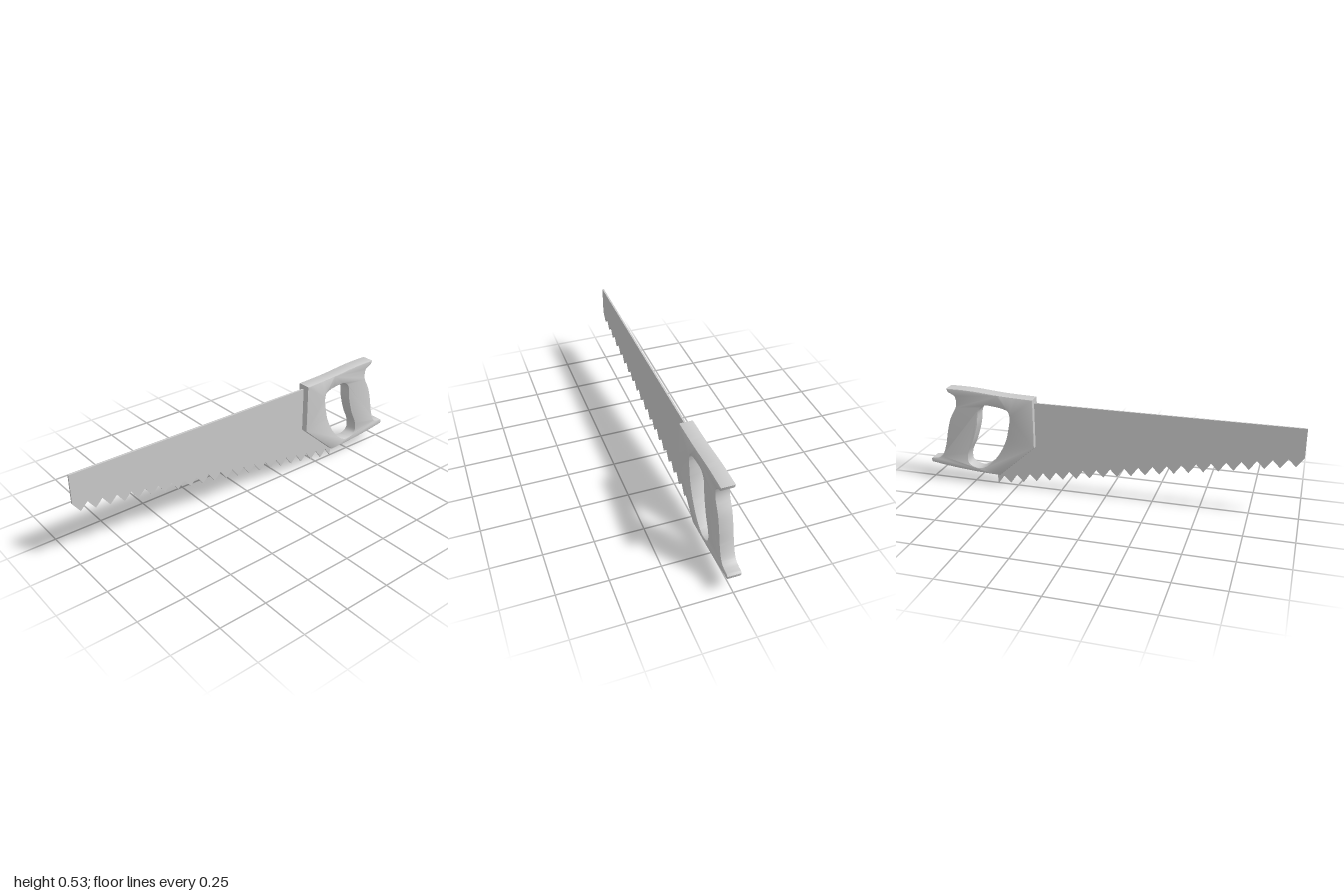
import * as THREE from 'three';
import { toCreasedNormals } from 'three/addons/utils/BufferGeometryUtils.js';

const vectors = (pts) => pts.map(([x, y]) => new THREE.Vector2(x, y));

// Thin steel plate with a sloping row of triangular teeth
function createBlade(material) {
  const teeth = 21.5, left = -1, right = 0.615, pitch = (right - left) / teeth;
  const slope = -0.18, depth = 0.045;
  const shape = new THREE.Shape();
  shape.moveTo(left, 0.487);
  for (let i = 0; i <= teeth * 2; i++) {
    const x = left + i * pitch / 2;
    const gullet = 0.335 + slope * (x - left);
    shape.lineTo(x, Math.max(0, i % 2 ? gullet - depth : gullet));
  }
  // Tang, tucked inside the handle
  shape.lineTo(right, 0.08);
  shape.lineTo(0.45, 0.22);
  shape.lineTo(0.45, 0.487);
  shape.closePath();
  const geometry = new THREE.ExtrudeGeometry(shape, { depth: 0.009, bevelEnabled: false });
  geometry.translate(0, 0, -0.009);
  const blade = new THREE.Mesh(geometry, material);
  blade.name = 'blade';
  return blade;
}

// Closed grip with slightly softened edges and a finger opening
function createHandle(material) {
  const shape = new THREE.Shape();
  shape.moveTo(0.388, 0.243);
  shape.lineTo(0.593, 0.062);
  shape.splineThru(vectors([[0.73, 0.068], [0.866, 0.08], [0.995, 0.097]]));
  shape.lineTo(0.999, 0.115);
  shape.lineTo(0.99, 0.123);
  // Back of the grip, from the lower horn to the upper horn
  shape.splineThru(vectors([[0.95, 0.128], [0.923, 0.152], [0.902, 0.21], [0.885, 0.29],
    [0.863, 0.365], [0.827, 0.435], [0.827, 0.485], [0.845, 0.502], [0.868, 0.512]]));
  shape.lineTo(0.875, 0.533);
  // Gently arched top
  shape.splineThru(vectors([[0.79, 0.533], [0.705, 0.529], [0.6, 0.52], [0.52, 0.515], [0.388, 0.511]]));
  shape.closePath();

  const opening = new THREE.CatmullRomCurve3([
    [0.521, 0.40], [0.53, 0.434], [0.56, 0.447], [0.615, 0.455], [0.663, 0.455],
    [0.695, 0.425], [0.709, 0.342], [0.738, 0.246], [0.773, 0.165], [0.77, 0.114],
    [0.72, 0.091], [0.674, 0.102], [0.604, 0.166], [0.55, 0.262], [0.529, 0.342],
  ].map(([x, y]) => new THREE.Vector3(x, y, 0)), true);
  shape.holes.push(new THREE.Path(opening.getPoints(70).slice(0, -1)
    .map((p) => new THREE.Vector2(p.x, p.y))));

  const bevel = 0.004, depth = 0.07 - 2 * bevel;
  const geometry = new THREE.ExtrudeGeometry(shape, {
    depth, curveSegments: 5, bevelThickness: bevel, bevelSize: bevel, bevelOffset: -bevel, bevelSegments: 2,
  });
  geometry.translate(0, 0, -depth / 2);
  const handle = new THREE.Mesh(toCreasedNormals(geometry, Math.PI / 5), material);
  handle.name = 'handle';
  return handle;
}

export function createModel() {
  const material = new THREE.MeshStandardMaterial({ color: 0xcccccc });
  const saw = new THREE.Group();
  saw.name = 'handSaw';
  saw.add(createBlade(material), createHandle(material));
  return saw;
}
